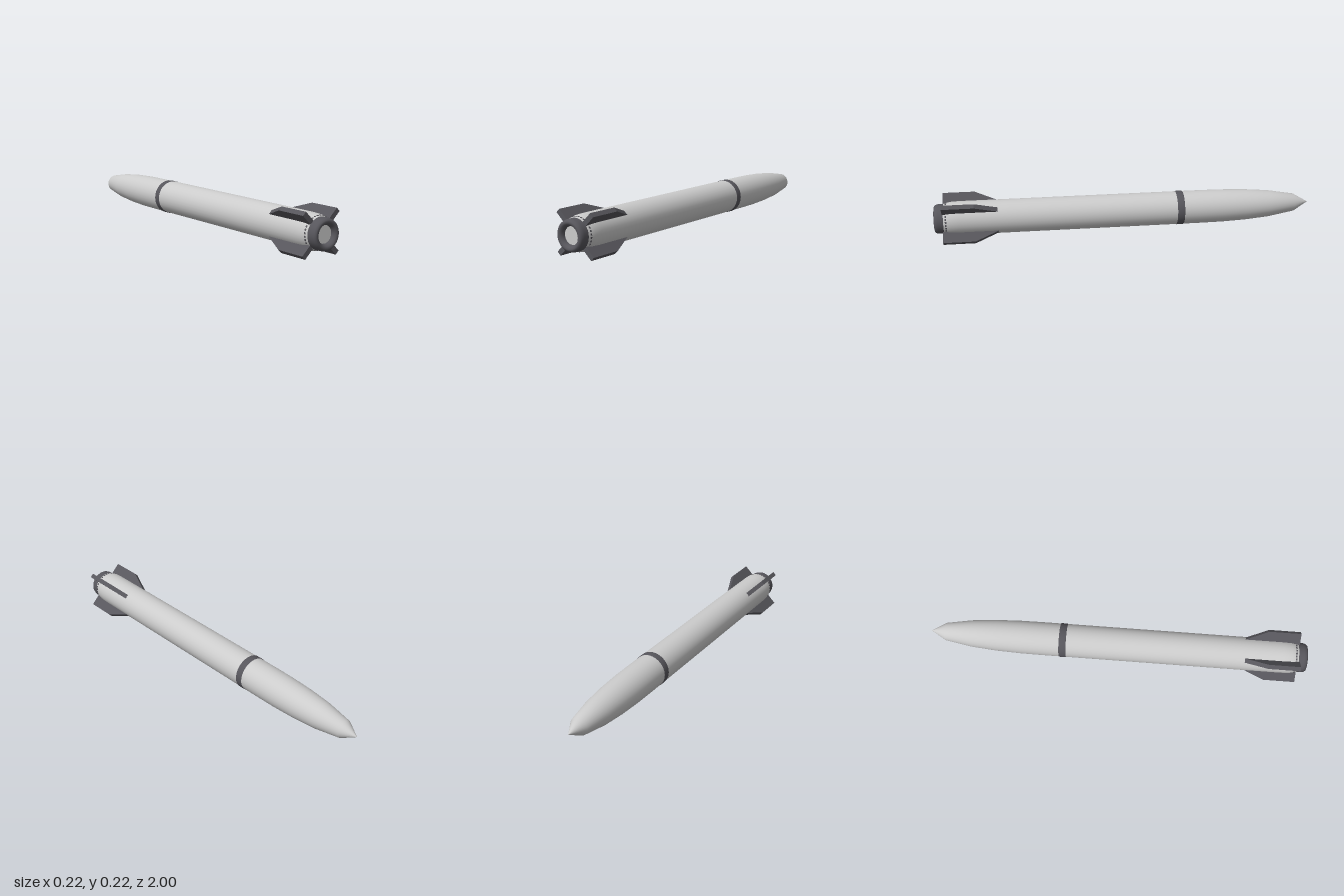
import * as THREE from 'three';

const AXIS_Y = 0.11; // height of the rocket's long axis
const light = new THREE.MeshStandardMaterial({ color: 0xcccccc });
const dark = new THREE.MeshStandardMaterial({ color: 0x57565c });

// Solid of revolution about z from [radius, z] pairs
function turned(name, profile, material, sides = 32) {
  const geometry = new THREE.LatheGeometry(profile.map(([r, z]) => new THREE.Vector2(r, z)), sides);
  geometry.rotateX(Math.PI / 2);
  const mesh = new THREE.Mesh(geometry, material);
  mesh.name = name;
  return mesh;
}

export function createModel() {
  const rocket = new THREE.Group();
  rocket.name = 'rocket';
  rocket.position.y = AXIS_Y;

  // Pointed nose, long barrel and rounded tail
  rocket.add(turned('body', [
    [0, -1], [0.047, -0.92], [0.071, -0.78], [0.082, -0.65], [0.087, -0.52], [0.088, -0.4],
    [0.088, 0.5], [0.088, 0.87], [0.086, 0.915], [0.081, 0.94], [0.073, 0.962],
  ], light));

  // Collar behind the nose
  rocket.add(turned('collar', [
    [0.087, -0.31], [0.09, -0.307], [0.09, -0.273], [0.087, -0.27],
  ], dark));

  // Rounded exhaust ring
  rocket.add(turned('nozzleRing', [
    [0.077, 0.95], [0.077, 0.978], [0.074, 0.991], [0.068, 0.998], [0.061, 1],
    [0.053, 0.997], [0.047, 0.989], [0.043, 0.978], [0.043, 0.965],
  ], dark));

  // Plate closing the exhaust
  const plate = new THREE.Mesh(new THREE.CircleGeometry(0.046, 32), light);
  plate.name = 'exhaustPlate';
  plate.position.z = 0.975;
  rocket.add(plate);

  // Row of small studs around the tail
  const studs = new THREE.Group();
  studs.name = 'tailStuds';
  const studGeometry = new THREE.BoxGeometry(0.003, 0.009, 0.008);
  for (let i = 0; i < 32; i++) {
    const a = (i + 0.5) / 32 * Math.PI * 2;
    const stud = new THREE.Mesh(studGeometry, dark);
    stud.name = 'stud';
    stud.position.set(Math.cos(a) * 0.0808, Math.sin(a) * 0.0808, 0.938);
    stud.rotation.z = a;
    studs.add(stud);
  }
  rocket.add(studs);

  // Four swept tail fins on the diagonals
  const outline = new THREE.Shape([
    [0.079, 0.67], [0.087, 0.67], [0.1415, 0.79], [0.1415, 0.956], [0.079, 0.956],
  ].map(([r, z]) => new THREE.Vector2(r, z)));
  const finGeometry = new THREE.ExtrudeGeometry(outline, { depth: 0.024, bevelEnabled: false });
  finGeometry.translate(0, 0, -0.012).rotateX(Math.PI / 2);
  for (let i = 0; i < 4; i++) {
    const fin = new THREE.Mesh(finGeometry, dark);
    fin.name = 'fin';
    fin.rotation.z = Math.PI / 4 + i * Math.PI / 2;
    rocket.add(fin);
  }

  const model = new THREE.Group();
  model.add(rocket);
  return model;
}
